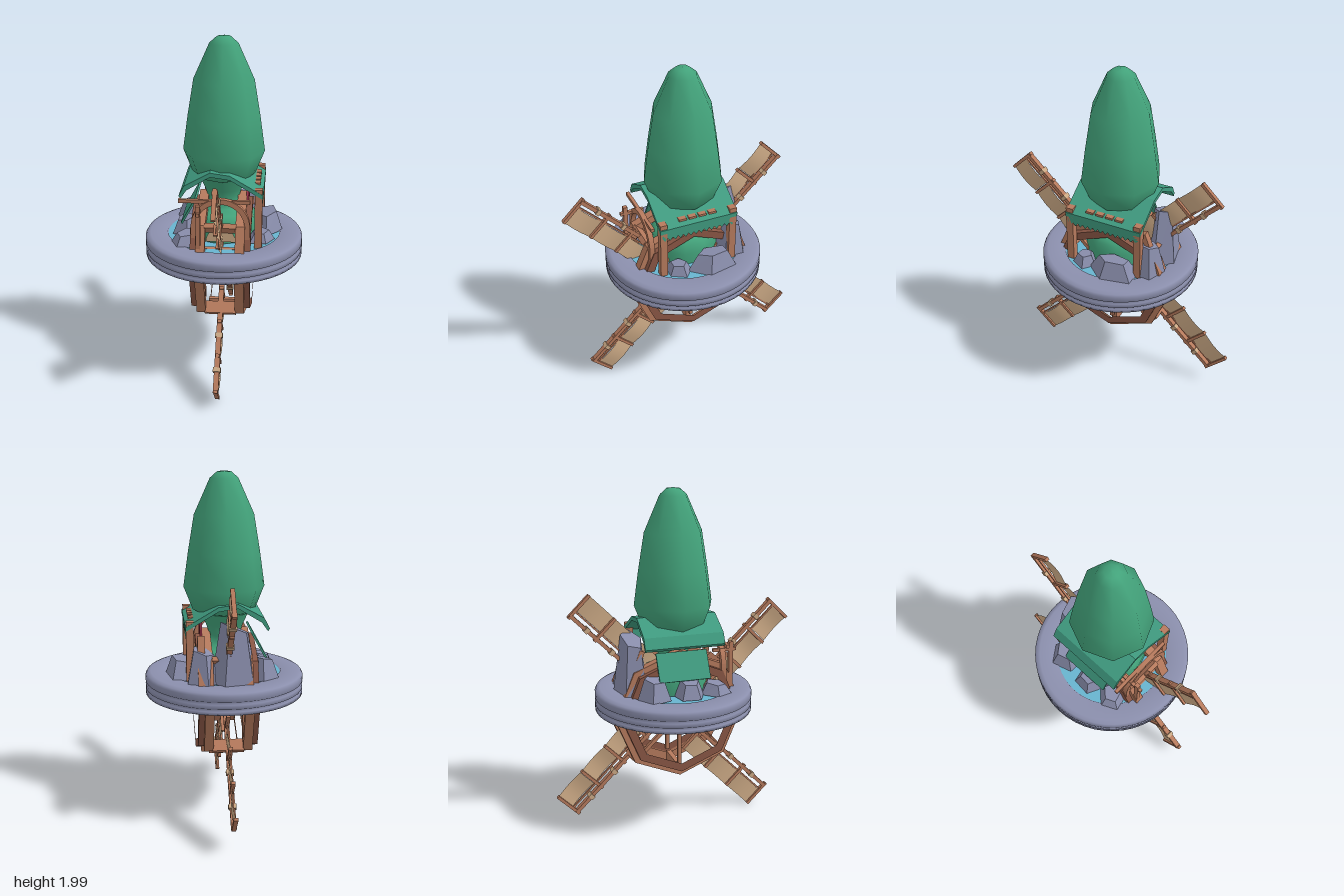
import * as THREE from 'three';

const mat = (name, color, extra = {}) => Object.assign(new THREE.MeshStandardMaterial({ color, ...extra }), { name });

export function createModel() {
  const model = new THREE.Group();
  const leaf = mat('leaf green', 0x43a37b);
  const cloth = mat('awning green', 0x409b80, { side: THREE.DoubleSide });
  const wood = mat('wood', 0xb67a5d);
  const darkWood = mat('dark wood', 0x8a5745);
  const sail = mat('sail tan', 0xcba985, { side: THREE.DoubleSide });
  const stone = mat('stone', 0x898dab, { flatShading: true });
  const ringStone = mat('ring stone', 0x8b8fad);
  const water = mat('water', 0x68b4cf);
  const red = mat('red', 0xc2415f);

  const add = (parent, name, geo, material, x = 0, y = 0, z = 0) => {
    const m = new THREE.Mesh(geo, material);
    m.name = name;
    m.position.set(x, y, z);
    parent.add(m);
    return m;
  };
  const box = (parent, name, material, w, h, d, x, y, z) =>
    add(parent, name, new THREE.BoxGeometry(w, h, d), material, x, y, z);
  const lathe = (pts, seg) => new THREE.LatheGeometry(pts.map(p => new THREE.Vector2(...p)), seg);
  const poly = pts => new THREE.Shape(pts.map(p => new THREE.Vector2(...p)));

  // round base with grooved edge and pool
  add(model, 'baseRing', lathe([[0, .725], [.46, .725], [.46, .745], [.445, .752], [.46, .76], [.46, .785],
    [.447, .793], [.46, .8], [.46, .832], [.452, .846], [.43, .855], [.33, .855], [.32, .83]], 48), ringStone);
  const pool = add(model, 'pool', new THREE.CircleGeometry(.33, 32), water, 0, .845, 0);
  pool.rotation.x = -Math.PI / 2;

  // tree crown and flared trunk
  add(model, 'crown', lathe([[0, 1.2], [.14, 1.2], [.18, 1.215], [.233, 1.35], [.205, 1.55], [.17, 1.76],
    [.08, 1.96], [.04, 1.995], [0, 2]], 8), leaf);
  add(model, 'trunk', lathe([[.2, .85], [.2, .92], [.185, .97], [.16, 1], [.1, 1.02], [.09, 1.07],
    [.11, 1.13], [.15, 1.22]], 10), leaf);
  const apron = box(model, 'sideApron', cloth, .012, .17, .3, -.19, 1.025, 0);
  apron.rotation.z = -.5;

  // peaked roof
  const roofShape = poly([[.235, 1.14], [.235, 1.165], [.05, 1.275], [-.06, 1.29], [-.205, 1.21],
    [-.235, 1.15], [-.225, 1.135], [-.19, 1.185], [-.06, 1.265], [.05, 1.25]]);
  add(model, 'roof', new THREE.ExtrudeGeometry(roofShape, { depth: .466, bevelEnabled: false }), cloth, 0, 0, -.233);

  // zigzag awning edge
  const edge = [[-.22, 1.15], [-.22, 1.11]];
  for (let i = 0; i < 14; i++) edge.push([-.22 + (i + .5) * .44 / 14, 1.085], [-.22 + (i + 1) * .44 / 14, 1.105]);
  edge.push([.22, 1.15]);
  const awning = add(model, 'awningEdge', new THREE.ExtrudeGeometry(poly(edge), { depth: .009, bevelEnabled: false }),
    cloth, .222, 0, 0);
  awning.rotation.y = Math.PI / 2;

  for (const s of [-1, 1]) {
    box(model, 'awningPost', wood, .042, .35, .042, .21, 1.02, s * .21);
    box(model, 'hangingBanner', red, .012, .17, .04, .14, 1.09, s * .045 - .02);
  }
  for (let i = 0; i < 4; i++) box(model, 'roofSlat', wood, .03, .012, .045, .2, 1.19, -.09 + i * .06);

  // octagonal wheel rims, drawn in the z-y plane around the axle
  const hubY = .72;
  const wheel = new THREE.Group();
  wheel.name = 'waterWheel';
  wheel.position.y = hubY;
  model.add(wheel);
  const octagon = r => Array.from({ length: 8 }, (_, i) =>
    [r * Math.sin(i * Math.PI / 4), r * Math.cos(i * Math.PI / 4)]);
  const rim = (name, material, outer, inner, depth, x) => {
    const shape = poly(octagon(outer));
    shape.holes.push(poly(octagon(inner)));
    const g = new THREE.ExtrudeGeometry(shape, { depth, bevelEnabled: false });
    g.translate(0, 0, -depth / 2);
    add(wheel, name, g, material, x).rotation.y = Math.PI / 2;
  };
  for (const s of [-1, 1]) {
    rim('innerRim', wood, .385, .335, .045, s * .107);
    rim('outerRim', darkWood, .35, .3, .04, s * .15);
    rim('rimFace', wood, .385, .345, .008, s * .133);
    for (let i = 0; i < 8; i++) {
      const a = i * Math.PI / 4;
      const spoke = box(wheel, 'spoke', wood, .022, .32, .022, s * .12, Math.cos(a) * .16, Math.sin(a) * .16);
      spoke.rotation.x = a;
    }
    add(wheel, 'hub', new THREE.CylinderGeometry(.055, .055, .03, 12), stone, s * .15).rotation.z = Math.PI / 2;
    add(wheel, 'hubRing', new THREE.TorusGeometry(.05, .014, 8, 16), stone, s * .165).rotation.y = Math.PI / 2;
  }
  add(wheel, 'axle', new THREE.CylinderGeometry(.022, .022, .38, 10), darkWood).rotation.z = Math.PI / 2;
  for (let i = 0; i < 8; i++) {
    const a = i * Math.PI / 4;
    const paddle = box(wheel, 'paddle', wood, .18, .07, .03, 0, Math.cos(a) * .355, Math.sin(a) * .355);
    paddle.rotation.x = a;
  }

  // four sails on diagonal spars
  for (let k = 0; k < 4; k++) {
    const arm = new THREE.Group();
    arm.name = 'sailArm';
    arm.position.y = hubY;
    arm.rotation.x = Math.PI / 4 + k * Math.PI / 2;
    model.add(arm);
    box(arm, 'spar', wood, .03, .77, .022, 0, .465, 0);
    box(arm, 'sailRod', wood, .012, .62, .01, 0, .54, .036);
    for (const r of [.24, .44, .64, .845]) box(arm, 'crossbar', wood, .024, .018, .175, 0, r, .068);
    for (const r of [.52, .72]) box(arm, 'sparBand', sail, .044, .025, .034, 0, r, 0);
    for (const r of [.34, .54, .745]) {
      const g = new THREE.PlaneGeometry(.112, .185, 1, 6);
      const p = g.attributes.position;
      for (let i = 0; i < p.count; i++) p.setZ(i, .012 * Math.cos(p.getY(i) / .185 * Math.PI));
      g.computeVertexNormals();
      add(arm, 'sailCloth', g, sail, 0, r, .098).rotation.y = Math.PI / 2;
    }
  }

  // arched gate with rail
  const arch = (r, base, top) => {
    const s = new THREE.Shape();
    s.moveTo(-r, base);
    s.lineTo(r, base);
    s.lineTo(r, top - r);
    s.absarc(0, top - r, r, 0, Math.PI, false);
    s.lineTo(-r, base);
    return s;
  };
  const gate = arch(.165, .85, 1.15);
  gate.holes.push(arch(.135, .851, 1.12));
  add(model, 'archGate', new THREE.ExtrudeGeometry(gate, { depth: .03, bevelEnabled: false }), wood, 0, 0, .24);
  add(model, 'archCloth', new THREE.CircleGeometry(.085, 16, 0, Math.PI), sail, 0, .88, .235);
  box(model, 'rail', wood, .4, .02, .02, -.035, 1.13, .25);
  box(model, 'railPost', wood, .025, .27, .025, -.12, .99, .31);
  box(model, 'railArm', wood, .02, .018, .14, -.12, 1.08, .27);
  for (const x of [-.1, .15]) {
    const brace = box(model, 'backBrace', wood, .04, .3, .03, x, .97, -.27);
    brace.rotation.x = .35;
  }

  // faceted rocks: x, z, width, height, depth, turn
  const rocks = [[-.04, -.26, .2, .35, .14, .2], [.25, -.08, .14, .11, .22, 0], [.22, .12, .12, .06, .1, .5],
    [-.2, -.17, .14, .13, .15, .6], [-.22, .03, .12, .1, .13, .2], [.14, -.24, .15, .2, .14, -.4],
    [-.2, .19, .14, .07, .12, .8]];
  for (const [x, z, w, h, d, turn] of rocks) {
    const g = new THREE.CylinderGeometry(.42, .7, 1, 5, 1);
    const p = g.attributes.position;
    for (let i = 0; i < p.count; i++) if (p.getY(i) > 0) p.setY(i, .5 + p.getX(i) * .25 - .1);
    g.scale(w, h, d);
    add(model, 'rock', g, stone, x, .85 + h / 2, z).rotation.y = turn;
  }
  return model;
}
